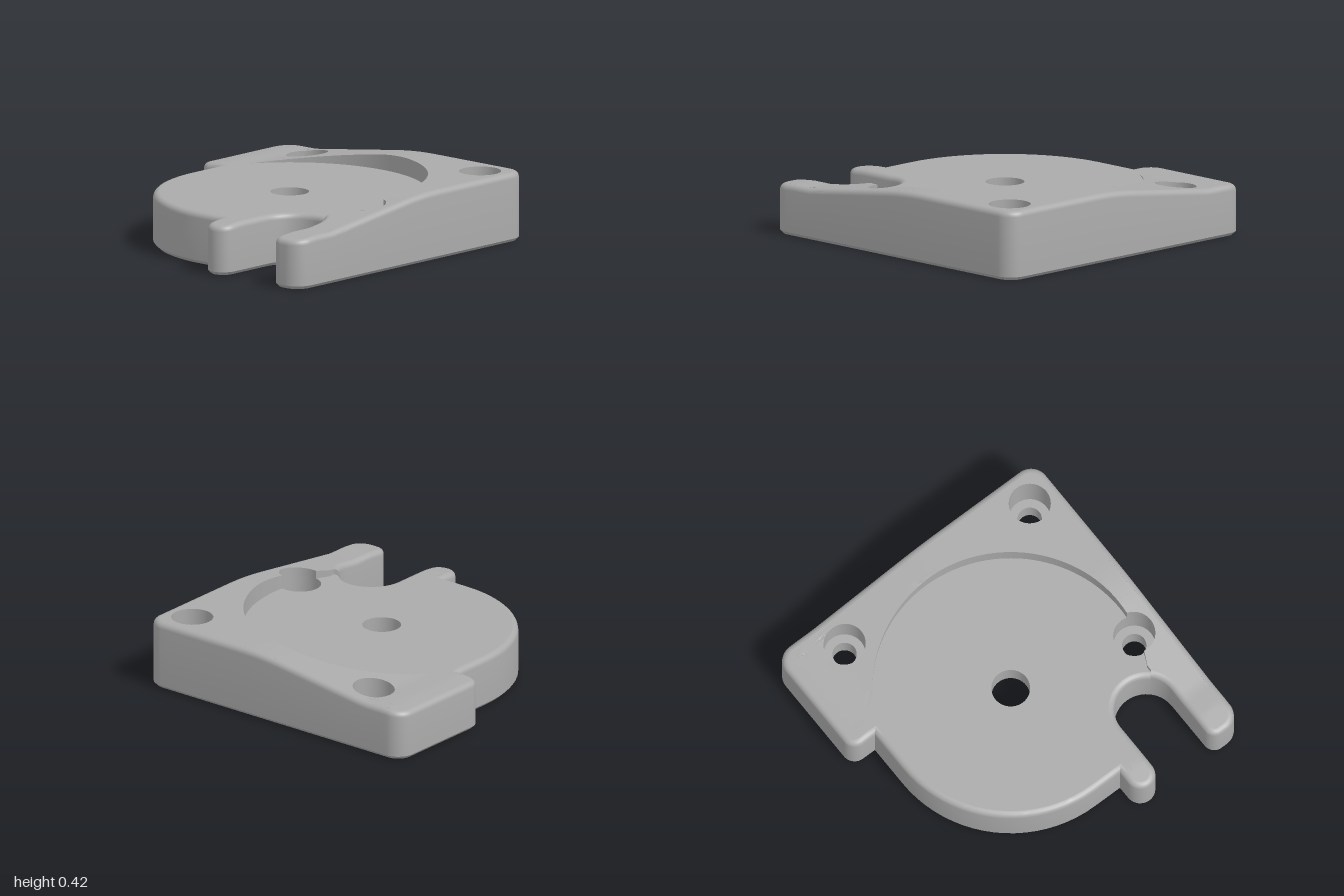
import * as THREE from 'three';
import { toCreasedNormals } from 'three/addons/utils/BufferGeometryUtils.js';

const PI = Math.PI, V2 = (x, z) => new THREE.Vector2(x, z);
const FLOOR = 0.31, FILLET = 0.035, CHAMFER = 0.02, SEAT = 0.15, POCKET = 0.17;
const C = V2(-0.02, 0), R = 0.82;                 // round recess
const BORE = 0.125, SHANK = 0.072, AXLE = 0.115;  // hole radii
const SCREWS = [V2(0.8, -0.61), V2(0.8, 0.78), V2(-0.21, 0.78)];

// Height of the rim along one axis: low end, ramp, rounded shoulder, flat
function ramp(t) {
  if (t < -0.85) return FLOOR - 0.1 * (-0.85 - t);
  if (t < -0.7) return FLOOR;
  if (t < -0.05) return FLOOR + 0.134 * (t + 0.7);
  const u = Math.min(t + 0.05, 0.3);
  return FLOOR + 0.134 * (0.65 + u - u * u / 0.6);
}
const crest = (p) => Math.min(ramp(p.x), ramp(p.y));
const ground = (p) => Math.min(FLOOR, crest(p));

// Points (x, z) on an arc, both ends included
function arc(c, r, a0, a1, n) {
  return Array.from({ length: n + 1 }, (_, i) => {
    const a = a0 + (a1 - a0) * i / n;
    return V2(c.x + r * Math.cos(a), c.y + r * Math.sin(a));
  });
}
const ring = (c, r, n = 48, turn = 0) => arc(c, r, turn + 2 * PI, turn, n).slice(0, n);

// Outer outline, sampled evenly
function outline() {
  const s = new THREE.Path();
  s.moveTo(0.25, -0.81);
  s.lineTo(0.25, -0.9);
  s.absarc(0.33, -0.9, 0.08, PI, 1.5 * PI);
  s.absarc(0.89, -0.87, 0.11, 1.5 * PI, 2 * PI);
  s.absarc(0.89, 0.86, 0.11, 0, PI / 2);
  s.absarc(-0.89, 0.86, 0.11, PI / 2, PI);
  s.absarc(-0.93, 0.82, 0.07, PI, 1.5 * PI);
  s.absarc(-0.61, 0.56, 0.19, PI / 2, -PI / 2, true); // slot end
  s.absarc(-0.91, 0.28, 0.09, PI / 2, 1.5 * PI);
  s.lineTo(-0.83, 0.19);
  s.lineTo(-0.83, 0);
  s.absarc(C.x, C.y, 0.81, PI, 1.5 * PI);
  const raw = s.getPoints(10).filter((p, i, a) => i === 0 || p.distanceTo(a[i - 1]) > 1e-4);
  const out = [];
  raw.forEach((p, i) => {
    const q = raw[(i + 1) % raw.length], n = Math.ceil(p.distanceTo(q) / 0.05);
    for (let k = 0; k < n; k++) out.push(p.clone().lerp(q, k / n));
  });
  return out;
}

// Mitred inward normal at each outline point
function inwardNormals(pts) {
  const N = pts.length;
  return pts.map((p, i) => {
    const d1 = p.clone().sub(pts[(i + N - 1) % N]).normalize();
    const d2 = pts[(i + 1) % N].clone().sub(p).normalize();
    const n1 = V2(-d1.y, d1.x), n2 = V2(-d2.y, d2.x);
    return n1.clone().add(n2).divideScalar(1 + n1.dot(n2));
  });
}

function finish(pos, crease) {
  const g = new THREE.BufferGeometry();
  g.setAttribute('position', new THREE.Float32BufferAttribute(pos, 3));
  return toCreasedNormals(g, crease);
}

// Wall between closed or open rows of 3D points, rows running upwards
function skin(rows, closed, crease = 0.6) {
  const pos = [], n = rows[0].length;
  for (let r = 0; r + 1 < rows.length; r++) {
    for (let i = 0; i < (closed ? n : n - 1); i++) {
      const j = (i + 1) % n, a = rows[r][i], b = rows[r][j], c = rows[r + 1][j], d = rows[r + 1][i];
      for (const v of [a, d, b, b, d, c]) pos.push(v.x, v.y, v.z);
    }
  }
  return finish(pos, crease);
}
const lift = (pts, y) => pts.map((p) => new THREE.Vector3(p.x, typeof y === 'number' ? y : y(p), p.y));

// Filled surface over a contour with holes, split finely so it can follow height y
function plate(contour, holes, y, up) {
  const all = [contour, ...holes].flat(), pos = [];
  const flat = typeof y === 'number';
  function emit(a, b, c) {
    const ab = a.distanceTo(b), bc = b.distanceTo(c), ca = c.distanceTo(a);
    if (flat || Math.max(ab, bc, ca) <= 0.07) {
      for (const p of [a, b, c]) pos.push(p.x, flat ? y : y(p), p.y);
      return;
    }
    // Turn the longest edge to p-q and halve it
    let [p, q, r] = [a, b, c];
    if (bc > ab && bc >= ca) [p, q, r] = [b, c, a];
    else if (ca > ab) [p, q, r] = [c, a, b];
    const h = p.clone().add(q).multiplyScalar(0.5);
    emit(p, h, r);
    emit(h, q, r);
  }
  for (const [i, j, k] of THREE.ShapeUtils.triangulateShape(contour.slice(), holes.map((h) => h.slice()))) {
    const a = all[i], b = all[j], c = all[k];
    const ccw = (b.x - a.x) * (c.y - a.y) - (b.y - a.y) * (c.x - a.x) > 0;
    if (ccw === up) emit(a, c, b); else emit(a, b, c);
  }
  return finish(pos, 0.6);
}

export function createModel() {
  const model = new THREE.Group();
  model.name = 'mountingPlate';
  const grey = new THREE.MeshStandardMaterial({ color: 0xaaaaaa, side: THREE.DoubleSide });
  grey.name = 'grey';
  const add = (name, geo) => {
    const m = new THREE.Mesh(geo, grey);
    m.name = name;
    model.add(m);
  };

  const pts = outline(), nrm = inwardNormals(pts);
  const inset = (d) => pts.map((p, i) => p.clone().addScaledVector(nrm[i], d));
  const top = inset(FILLET);

  // Outline point in the slot where the recess edge meets it
  let cut = -1, best = 1;
  pts.forEach((p, i) => {
    const off = Math.abs(p.distanceTo(C) - R);
    if (p.y > 0.56 && Math.abs(p.distanceTo(V2(-0.61, 0.56)) - 0.19) < 0.005 && off < best) {
      best = off;
      cut = i;
    }
  });

  // Outer wall: bottom chamfer, side, top fillet
  const columns = [];
  pts.forEach((p, i) => {
    if (i <= cut) columns.push({ p, n: nrm[i], h: crest(top[i]) });
    if (i >= cut) columns.push({ p, n: nrm[i], h: ground(top[i]) });
  });
  const row = (d, y) => columns.map((c) =>
    new THREE.Vector3(c.p.x + c.n.x * d, y(c.h), c.p.y + c.n.y * d));
  const rows = [row(CHAMFER, () => 0), row(0, () => CHAMFER)];
  for (let k = 0; k <= 5; k++) {
    const a = k / 5 * PI / 2;
    rows.push(row(FILLET * (1 - Math.cos(a)), (h) => h - FILLET + FILLET * Math.sin(a)));
  }
  add('outerWall', skin(rows, true));

  // Recess edge from the slot to the back tab, broken by the front screw bore
  const Q = SCREWS[2], toQ = Q.clone().sub(C), d = toQ.length(), phi = Math.atan2(toQ.y, toQ.x);
  const delta = Math.acos((R * R + d * d - BORE * BORE) / (2 * R * d));
  const beta = PI - Math.acos((d * d + BORE * BORE - R * R) / (2 * d * BORE));
  const end = Math.atan2(top[cut].y - C.y, top[cut].x - C.x);
  const edge = (bore) => [
    top[cut],
    ...arc(C, R, end, phi + delta, 4).slice(1, -1),
    ...bore,
    ...arc(C, R, phi - delta, -1.108, 64).slice(1),
  ];
  const rimEdge = edge(arc(Q, BORE, phi + beta, phi - beta, 24));
  const floorEdge = edge(arc(Q, BORE, phi + beta, phi + 2 * PI - beta, 24));

  add('recessWall', skin([lift(rimEdge, ground), lift(rimEdge, crest)], false));
  add('rimTop', plate([...top.slice(0, cut + 1), ...rimEdge.slice(1)],
    SCREWS.slice(0, 2).map((s) => ring(s, BORE)), crest, true));
  add('recessFloor', plate([...top.slice(cut), top[0], ...floorEdge.slice(1).reverse()],
    [ring(C, AXLE)], ground, true));

  // Counterbored screw holes
  SCREWS.forEach((s, i) => {
    const bore = ring(s, BORE), shank = ring(s, SHANK);
    add('screwBore', skin([lift(bore, SEAT), lift(bore, i === 2 ? ground : crest)], true));
    add('screwSeat', plate(bore, [shank], SEAT, true));
    add('screwHole', skin([lift(ring(s, SHANK + CHAMFER), 0), lift(shank, CHAMFER), lift(shank, SEAT)], true));
  });

  // Axle hole with a hexagonal nut pocket below
  const hex = (r) => ring(C, r, 6, PI / 6), axle = ring(C, AXLE);
  add('axleHole', skin([lift(axle, POCKET), lift(axle, ground)], true));
  add('nutPocketRoof', plate(hex(0.213), [axle], POCKET, false));
  add('nutPocket', skin([lift(hex(0.236), 0), lift(hex(0.213), CHAMFER), lift(hex(0.213), POCKET)], true, 0.3));

  // Underside
  add('underside', plate(inset(CHAMFER),
    [hex(0.236), ...SCREWS.map((s) => ring(s, SHANK + CHAMFER))], 0, false));
  return model;
}
